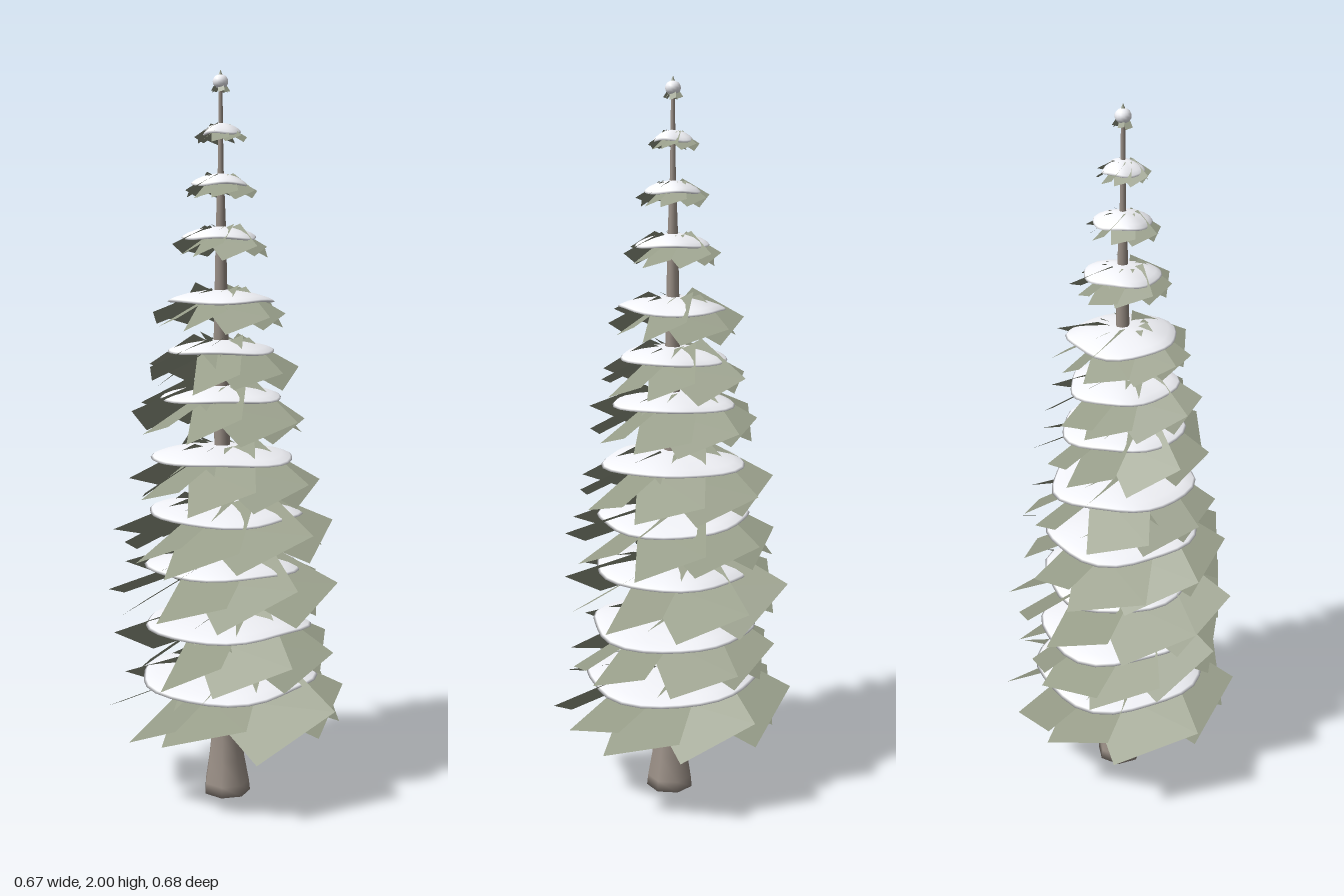
import * as THREE from 'three';
import { mergeVertices } from 'three/addons/utils/BufferGeometryUtils.js';

const bark = new THREE.MeshStandardMaterial({ color: 0x9a8f86 });
const needles = new THREE.MeshStandardMaterial({ color: 0x969c88, side: THREE.DoubleSide });
const snow = new THREE.MeshStandardMaterial({ color: 0xf2f3f8, side: THREE.DoubleSide });

// Tiers from bottom to top: snow height, snow radius, branch reach, branch drop
const TIERS = [
  [0.35, 0.245, 0.312, 0.1],
  [0.505, 0.23, 0.272, 0.1],
  [0.67, 0.215, 0.29, 0.095],
  [0.82, 0.212, 0.282, 0.09],
  [0.975, 0.195, 0.242, 0.1],
  [1.14, 0.165, 0.218, 0.085],
  [1.265, 0.145, 0.19, 0.075],
  [1.4, 0.145, 0.172, 0.06],
  [1.57, 0.1, 0.122, 0.045],
  [1.71, 0.075, 0.09, 0.035],
  [1.842, 0.053, 0.064, 0.022],
];
// The stem leans a little with height
const leanX = y => -0.02 * Math.min(y / 1.1, 1);
const leanZ = y => -0.01 * Math.min(y / 1.1, 1);

function seeded(seed) {
  let s = seed;
  return () => (s = (s * 16807) % 2147483647) / 2147483647;
}

function named(geometry, material, name) {
  const mesh = new THREE.Mesh(geometry, material);
  mesh.name = name;
  return mesh;
}

// Weld the seam so the normals run smoothly all the way round
function smooth(geometry) {
  geometry.deleteAttribute('uv');
  geometry.deleteAttribute('normal');
  const welded = mergeVertices(geometry, 1e-5);
  welded.computeVertexNormals();
  return welded;
}

// Flared trunk, tapering to a thin leader
function makeTrunk() {
  const profile = [[0, 0], [0.067, 0], [0.064, 0.03], [0.052, 0.1], [0.043, 0.17], [0.037, 0.24], [0.028, 0.3],
    [0.025, 0.7], [0.021, 1.3], [0.014, 1.6], [0.008, 1.75], [0.005, 1.98]];
  const geometry = new THREE.LatheGeometry(profile.map(p => new THREE.Vector2(...p)), 7);
  const pos = geometry.attributes.position;
  for (let i = 0; i < pos.count; i++) {
    const y = pos.getY(i);
    pos.setXYZ(i, pos.getX(i) - 0.008 + leanX(y) * 0.6, y, pos.getZ(i) + leanZ(y));
  }
  return named(smooth(geometry), bark, 'trunk');
}

// Flat lens of snow with an uneven rim
function makeSnow(radius, random) {
  const thickness = 0.019 + radius * 0.03;
  const profile = [[0, 1], [0.3, 0.9], [0.6, 0.6], [0.85, 0.15], [0.97, -0.2], [1, -0.4], [0.94, -0.5], [0.5, -0.2], [0, 0]];
  const points = profile.map(([r, y]) => new THREE.Vector2(r * radius, y * thickness)).reverse();
  const geometry = new THREE.LatheGeometry(points, 28);
  const pos = geometry.attributes.position;
  const a = random() * 6.28, b = random() * 6.28;
  for (let i = 0; i < pos.count; i++) {
    const x = pos.getX(i), z = pos.getZ(i);
    const angle = Math.atan2(z, x), t = Math.hypot(x, z) / radius;
    const k = 1 + 0.03 * Math.sin(3 * angle + a) + 0.03 * Math.sin(5 * angle + b);
    const lift = thickness * t * t * 0.15 * Math.sin(3 * angle + b);
    pos.setXYZ(i, x * k, pos.getY(i) + lift, z * k);
  }
  return named(smooth(geometry), snow, 'snow');
}

// Ring of flat drooping cards, all twisted the same way like fan blades
function makeBranches(reach, drop, random, count = 9) {
  const ring = new THREE.Group();
  ring.name = 'branches';
  const offset = random() * 6.28;
  for (let i = 0; i < count; i++) {
    const far = reach * (0.9 + 0.14 * random());
    const width = reach * (0.7 + 0.14 * random());
    const fall = drop * (0.85 + 0.3 * random());
    const near = reach * 0.12;
    const length = Math.hypot(far - near, fall + 0.01);
    const geometry = new THREE.PlaneGeometry(width, length);
    geometry.rotateX(Math.PI / 2);
    geometry.translate(0, 0, length / 2);
    geometry.rotateZ(0.4 + (random() - 0.5) * 0.25);
    geometry.rotateX(Math.atan2(fall + 0.01, far - near));
    geometry.translate(0, 0.01, near);
    geometry.rotateY(offset + (i + (random() - 0.5) * 0.4) * Math.PI * 2 / count);
    ring.add(named(geometry, needles, 'branch'));
  }
  return ring;
}

export function createModel() {
  const tree = new THREE.Group();
  tree.name = 'snowyTree';
  const random = seeded(4711);
  tree.add(makeTrunk());

  // Short limb below the lowest tier
  const limb = new THREE.CatmullRomCurve3([
    new THREE.Vector3(-0.02, 0.2, 0),
    new THREE.Vector3(-0.042, 0.235, 0.005),
    new THREE.Vector3(-0.075, 0.252, 0.012),
  ]);
  tree.add(named(new THREE.TubeGeometry(limb, 6, 0.014, 6), bark, 'limb'));

  // Tiers of branches under snow
  TIERS.forEach(([y, snowRadius, reach, drop]) => {
    const tier = new THREE.Group();
    tier.name = 'tier';
    tier.position.set(leanX(y), y, leanZ(y));
    const cap = makeSnow(snowRadius, random);
    cap.rotation.set((random() - 0.5) * 0.05, 0, (random() - 0.5) * 0.05);
    tier.add(makeBranches(reach, drop, random), cap);
    tree.add(tier);
  });

  // Tip: a small ball of snow on a tuft
  const tip = new THREE.Group();
  tip.name = 'tip';
  tip.position.set(-0.02, 1.965, -0.01);
  const ball = named(new THREE.SphereGeometry(0.021, 14, 10), snow, 'tipSnow');
  ball.scale.y = 0.9;
  ball.position.y = 0.004;
  const tuft = makeBranches(0.024, 0.016, random, 6);
  tuft.position.y = -0.006;
  const bud = named(new THREE.ConeGeometry(0.008, 0.02, 6), needles, 'bud');
  bud.position.y = 0.025;
  tip.add(ball, tuft, bud);
  tree.add(tip);
  return tree;
}
